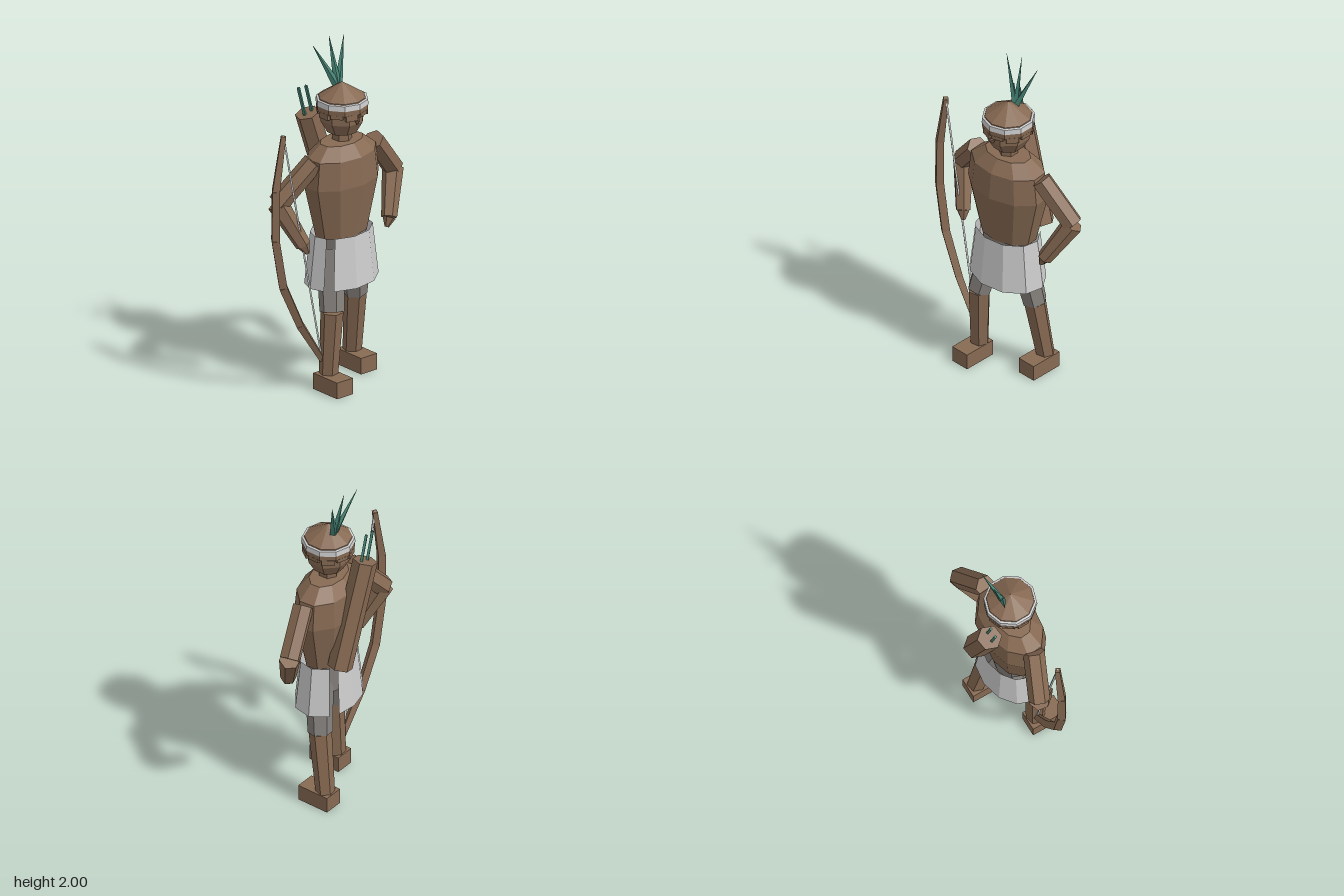
import * as THREE from 'three';

const mat = (name, color, side = THREE.FrontSide) =>
  new THREE.MeshStandardMaterial({ name, color, side, flatShading: true });
const V = (a) => new THREE.Vector3(...a);

export function createModel() {
  const brown = mat('brown', 0x876a53);
  const white = mat('off white cloth', 0xcdcdcd, THREE.DoubleSide);
  const grey = mat('grey shorts', 0x85807c);
  const teal = mat('teal feather', 0x478576, THREE.DoubleSide);
  const model = new THREE.Group();
  model.name = 'archer';

  const add = (parent, name, geometry, material) => {
    const mesh = new THREE.Mesh(geometry, material);
    mesh.name = name;
    parent.add(mesh);
    return mesh;
  };

  // Tapered prism running from point a to point b
  const limb = (name, a, b, ra, rb, material = brown, sides = 6) => {
    const from = V(a), dir = V(b).sub(from);
    const mesh = add(model, name, new THREE.CylinderGeometry(rb, ra, dir.length(), sides), material);
    mesh.position.copy(from).addScaledVector(dir, 0.5);
    mesh.quaternion.setFromUnitVectors(new THREE.Vector3(0, 1, 0), dir.normalize());
    return mesh;
  };

  // Turned shape from [radius, y] pairs, squashed front to back
  const turned = (parent, name, profile, sides, depth, material, start = 0, sweep = Math.PI * 2) => {
    const points = profile.map(([r, y]) => new THREE.Vector2(r, y));
    const geometry = new THREE.LatheGeometry(points, sides, start, sweep);
    return add(parent, name, geometry.scale(1, 1, depth), material);
  };

  // Torso and skirt, turned towards the model's left
  const body = new THREE.Group();
  body.name = 'body';
  body.position.x = 0.035;
  body.rotation.y = 0.44;
  model.add(body);
  turned(body, 'torso', [[0, 0.87], [0.178, 0.88], [0.255, 1.19], [0.235, 1.35], [0.145, 1.42], [0, 1.425]],
    10, 0.64, brown);
  turned(body, 'shortsSeat', [[0, 0.66], [0.13, 0.68], [0.165, 0.88], [0, 0.88]], 8, 0.68, grey);
  const rad = THREE.MathUtils.degToRad;
  for (const [name, start, end] of [['frontFlap', -50, 132], ['backFlap', 148, 294]]) {
    turned(body, name, [[0.235, 0.595], [0.198, 0.895]], 5, 0.74, white, rad(start), rad(end - start));
  }

  // Head, hair and headband
  const head = new THREE.Group();
  head.name = 'head';
  head.position.x = 0.038;
  head.rotation.y = 0.36;
  model.add(head);
  turned(head, 'neck', [[0.055, 1.4], [0.055, 1.5]], 6, 1, brown);
  turned(head, 'face', [[0, 1.465], [0.085, 1.47], [0.125, 1.54], [0.128, 1.62]], 8, 1, brown, Math.PI / 8);
  turned(head, 'hair', [[0.12, 1.61], [0.145, 1.605], [0.147, 1.635], [0.132, 1.675], [0, 1.76]], 10, 1, brown);
  turned(head, 'headband', [[0.13, 1.637], [0.149, 1.637], [0.146, 1.667], [0.127, 1.672]], 10, 1, white);
  const nose = add(head, 'nose', new THREE.OctahedronGeometry(0.03), brown);
  nose.scale.set(0.65, 1.1, 0.9);
  nose.position.set(0, 1.57, 0.122);
  for (let i = 0; i < 10; i++) {
    const length = i % 2 ? 0.035 : 0.022;
    const lock = add(head, 'hairLock', new THREE.BoxGeometry(0.07, length, 0.02), brown);
    const angle = (i + 0.5) * Math.PI / 5;
    lock.position.set(Math.sin(angle) * 0.129, 1.608 - length / 2, Math.cos(angle) * 0.129);
    lock.rotation.y = angle;
  }

  // Feathers fanned out from the back of the head
  for (const tip of [[-0.11, 1.97, -0.06], [0, 2, -0.1], [0.105, 1.97, -0.145]]) {
    const feather = limb('feather', [0.033, 1.71, -0.045], tip, 0.026, 0.001, teal, 4);
    feather.scale.z = 0.7;
  }

  // Arms bent with hands towards the hips
  const arms = [
    ['right', [-0.165, 1.345, 0.09], [-0.372, 1.125, 0.08], [-0.245, 0.885, 0.14], [-0.222, 0.835, 0.15]],
    ['left', [0.26, 1.345, -0.095], [0.42, 1.115, -0.21], [0.345, 0.88, -0.075], [0.325, 0.83, -0.06]],
  ];
  for (const [side, shoulder, elbow, wrist, fingers] of arms) {
    limb(side + 'UpperArm', shoulder, elbow, 0.06, 0.06);
    limb(side + 'Forearm', elbow, wrist, 0.06, 0.044);
    limb(side + 'Hand', wrist, fingers, 0.038, 0.012);
  }

  // Striding legs with short trousers and block feet
  const legs = [
    ['right', [-0.045, 0.8, 0.035], [-0.07, 0.46, 0.125], [-0.087, 0.08, 0.115], [-0.078, 0.162]],
    ['left', [0.125, 0.8, -0.04], [0.157, 0.455, -0.105], [0.163, 0.08, -0.167], [0.175, -0.122]],
  ];
  for (const [side, hip, knee, ankle, foot] of legs) {
    limb(side + 'ShortsLeg', knee, hip, 0.069, 0.082, grey);
    limb(side + 'Shin', ankle, knee, 0.053, 0.064);
    const block = add(model, side + 'Foot', new THREE.BoxGeometry(0.115, 0.095, 0.2), brown);
    block.position.set(foot[0], 0.0475, foot[1]);
    block.rotation.y = 0.34;
  }

  // Bow: straight segments along a bent line, plus its string
  const bow = [[-0.378, 1.565], [-0.428, 1.25], [-0.43, 0.96], [-0.38, 0.67], [-0.27, 0.42], [-0.125, 0.18]]
    .map(([x, y]) => [x, y, 0.195 - 0.26 * (x + 0.43)]);
  const thickness = [0.019, 0.029, 0.031, 0.031, 0.028, 0.02];
  for (let i = 0; i < bow.length - 1; i++) {
    limb('bowSegment', bow[i], bow[i + 1], thickness[i], thickness[i + 1], brown, 4);
  }
  limb('bowString', bow[0], bow[5], 0.007, 0.007, white, 4);

  // Quiver slung across the back with two shafts
  limb('quiver', [0.08, 0.915, -0.185], [-0.11, 1.54, -0.145], 0.07, 0.07);
  for (const shift of [0, 0.05]) {
    limb('arrow', [-0.115 + shift, 1.48, -0.14 - shift * 0.3], [-0.17 + shift, 1.705, -0.125 - shift * 0.3],
      0.01, 0.01, teal, 4);
  }
  return model;
}
